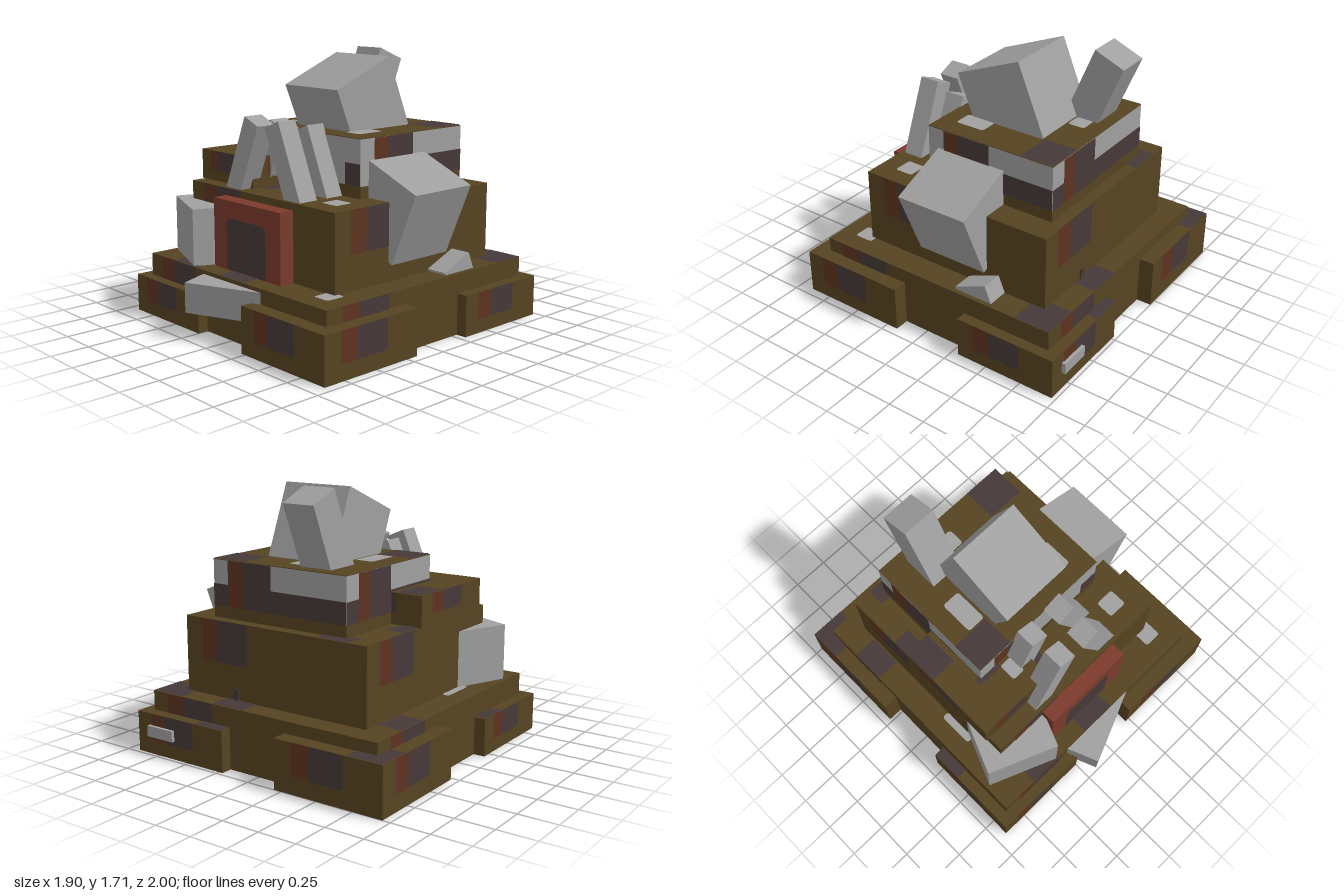
import * as THREE from 'three';

export function createModel() {
  const root = new THREE.Group();
  const mat = (name, color) => {
    const m = new THREE.MeshStandardMaterial({ color });
    m.name = name;
    return m;
  };
  const earth = mat('earthBrown', 0x564422);
  const stone = mat('stoneGrey', 0xa0a0a0);
  const dark = mat('darkUmber', 0x463838);
  const rust = mat('rustPatch', 0x5e3320);
  const brick = mat('brickRed', 0x7b3a2c);
  const TILT = Math.PI / 8;

  // Box from its minimum and maximum corners
  function block(name, m, [x0, x1], [y0, y1], [z0, z1], parent = root) {
    const mesh = new THREE.Mesh(new THREE.BoxGeometry(x1 - x0, y1 - y0, z1 - z0), m);
    mesh.position.set((x0 + x1) / 2, (y0 + y1) / 2, (z0 + z1) / 2);
    mesh.name = name;
    parent.add(mesh);
    return mesh;
  }

  // Tilted loose stone
  function slab(name, size, pos, rot) {
    const mesh = new THREE.Mesh(new THREE.BoxGeometry(...size), stone);
    mesh.position.set(...pos);
    mesh.rotation.set(...rot);
    mesh.name = name;
    root.add(mesh);
  }

  // Flat patch facing +z in its parent; r rounds the bottom and top corners
  function patch(name, m, x0, x1, y0, y1, parent, rb = 0, rt = 0) {
    const s = new THREE.Shape();
    s.moveTo(x0 + rb, y0);
    s.lineTo(x1 - rb, y0);
    s.quadraticCurveTo(x1, y0, x1, y0 + rb);
    s.lineTo(x1, y1 - rt);
    s.quadraticCurveTo(x1, y1, x1 - rt, y1);
    s.lineTo(x0 + rt, y1);
    s.quadraticCurveTo(x0, y1, x0, y1 - rt);
    s.lineTo(x0, y0 + rb);
    s.quadraticCurveTo(x0, y0, x0 + rb, y0);
    const mesh = new THREE.Mesh(new THREE.ShapeGeometry(s, 4), m);
    mesh.position.z = 0.003;
    mesh.name = name;
    parent.add(mesh);
  }

  // Four face frames of a box, origin at each face's top left corner
  function faces([x0, x1], y, [z0, z1], draw) {
    const w = x1 - x0, d = z1 - z0;
    [[x0, z1, w], [x1, z1, d], [x1, z0, w], [x0, z0, d]].forEach(([x, z, width], i) => {
      const g = new THREE.Group();
      g.position.set(x, y, z);
      g.rotation.y = i * Math.PI / 2;
      g.name = 'facePatches';
      root.add(g);
      draw(g, width, i);
    });
  }

  // Earth tier with a rust and a dark patch on every side
  function tier(name, x, y, z) {
    block(name, earth, x, y, z);
    faces(x, y[1], z, (g, w) => {
      const t = Math.min(w, 0.74), h = Math.min((y[1] - y[0]) * 0.66, 0.265);
      patch('rustMark', rust, t * 0.165, t * 0.34, -h, 0, g, 0.025);
      patch('darkMark', dark, t * 0.33, t * 0.66, -h, 0, g, 0.025);
    });
  }

  tier('baseSlab', [-0.85, 0.85], [0, 0.39], [-0.9, 0.8]);
  tier('frontLeftCorner', [0.22, 0.945], [0, 0.295], [0.17, 0.9]);
  tier('frontRightCorner', [-0.925, -0.25], [0, 0.245], [0.19, 0.87]);
  tier('backRightCorner', [-0.95, -0.2], [0, 0.315], [-1, -0.27]);
  tier('backLeftCorner', [0.22, 0.92], [0, 0.265], [-0.975, -0.295]);
  tier('middleTier', [-0.68, 0.68], [0.39, 0.875], [-0.76, 0.58]);
  tier('sideLedge', [-0.705, -0.18], [0.875, 1.07], [-0.225, 0.48]);

  // Top tier: earth foot, stone band and earth cap
  const tx = [-0.49, 0.51], tz = [-0.685, 0.215];
  block('topTierFoot', earth, tx, [0.875, 0.95], tz);
  block('topTierBand', stone, tx, [0.95, 1.236], tz);
  block('topTierCap', earth, tx, [1.236, 1.24], tz);
  faces(tx, 1.236, tz, (g, w, i) => {
    patch('rustMark', rust, 0.115, 0.23, -0.286, 0, g);
    patch('darkMark', dark, 0.225, 0.45, -0.286, 0, g);
    patch('lowerDarkBand', dark, i === 0 ? 0.87 : 0.45, w, -0.286, -0.15, g);
    if (i > 1) patch('lowerDarkCorner', dark, 0, 0.115, -0.286, -0.15, g);
  });

  // Dark and stone patches lying on the tops: x0, x1, z0, z1, y
  const flats = [
    [dark, -0.95, -0.71, -1, -0.775, 0.315],
    [dark, -0.925, -0.8, 0.19, 0.41, 0.245],
    [dark, 0.22, 0.44, -0.975, -0.88, 0.265],
    [dark, -0.85, -0.69, -0.66, -0.43, 0.39],
    [dark, 0.12, 0.36, -0.9, -0.76, 0.39],
    [dark, 0.61, 0.85, -0.9, -0.66, 0.39],
    [dark, -0.12, 0.12, 0.57, 0.8, 0.39],
    [dark, -0.6, -0.37, 0.56, 0.8, 0.39],
    [dark, -0.68, -0.56, -0.39, -0.22, 0.875],
    [dark, -0.56, -0.33, -0.76, -0.64, 0.875],
    [dark, -0.17, -0.07, 0.22, 0.42, 0.875],
    [dark, -0.705, -0.53, -0.225, 0.015, 1.07],
    [dark, -0.52, -0.35, 0.2, 0.245, 1.07],
    [dark, -0.49, -0.24, 0, 0.215, 1.24],
    [dark, 0.26, 0.51, -0.685, -0.46, 1.24],
    [stone, 0.61, 0.73, 0.55, 0.68, 0.39],
    [stone, -0.73, -0.68, 0.07, 0.31, 0.39],
    [stone, 0.43, 0.56, 0.33, 0.455, 0.875],
    [stone, -0.35, -0.26, 0.24, 0.36, 1.07],
    [stone, -0.365, -0.24, -0.24, -0.01, 1.24],
    [stone, -0.1, 0.01, -0.575, -0.46, 1.24],
    [stone, 0.26, 0.385, -0.1, 0.1, 1.24],
  ];
  for (const [m, x0, x1, z0, z1, y] of flats) {
    const g = new THREE.Group();
    g.position.y = y;
    g.rotation.x = -Math.PI / 2;
    g.name = m === dark ? 'topDarkPatch' : 'topStonePatch';
    root.add(g);
    const r = m === stone ? 0.02 : 0;
    patch('patch', m, x0, x1, -z1, -z0, g, r, r);
  }

  // Doorway
  block('doorFrame', brick, [-0.32, 0.32], [0.39, 0.83], [0.58, 0.68]);
  const door = new THREE.Group();
  door.position.z = 0.68;
  door.name = 'doorway';
  root.add(door);
  patch('doorOpening', dark, -0.19, 0.185, 0.392, 0.72, door, 0, 0.04);

  // Large tumbled stones
  slab('summitStone', [0.485, 0.48, 0.48], [0.0225, 1.376, -0.14], [TILT, 0, 0]);
  slab('summitPillar', [0.22, 0.52, 0.215], [-0.21, 1.43, -0.565], [-TILT, 0, 0]);
  slab('leftSideStone', [0.485, 0.485, 0.485], [0.578, 0.814, -0.0975], [0, 0, -TILT]);
  slab('rightFrontStone', [0.47, 0.48, 0.47], [-0.517, 0.515, 0.488], [0, -TILT, 0]);
  slab('frontStep', [0.52, 0.19, 0.485], [-0.053, 0.27, 0.676], [0, TILT, 0]);

  // Leaning pillars, mirrored in two rows
  for (const s of [-1, 1]) {
    slab('frontLeaningPillar', [0.135, 0.53, 0.135], [s * 0.198, 1.07, 0.4875], [0, 0, s * TILT]);
    slab('rearLeaningPillar', [0.135, 0.53, 0.13], [s * 0.214, 1.03, 0.275], [0, 0, s * TILT]);
  }

  // Small rubble
  slab('sideRubble', [0.14, 0.12, 0.24], [0.75, 0.395, -0.34], [TILT, 0, 0]);
  block('backRubble', stone, [0.61, 0.82], [0.12, 0.19], [-1, -0.95]);
  block('backStub', dark, [0.26, 0.3], [0.39, 0.46], [-0.77, -0.74]);

  return root;
}
